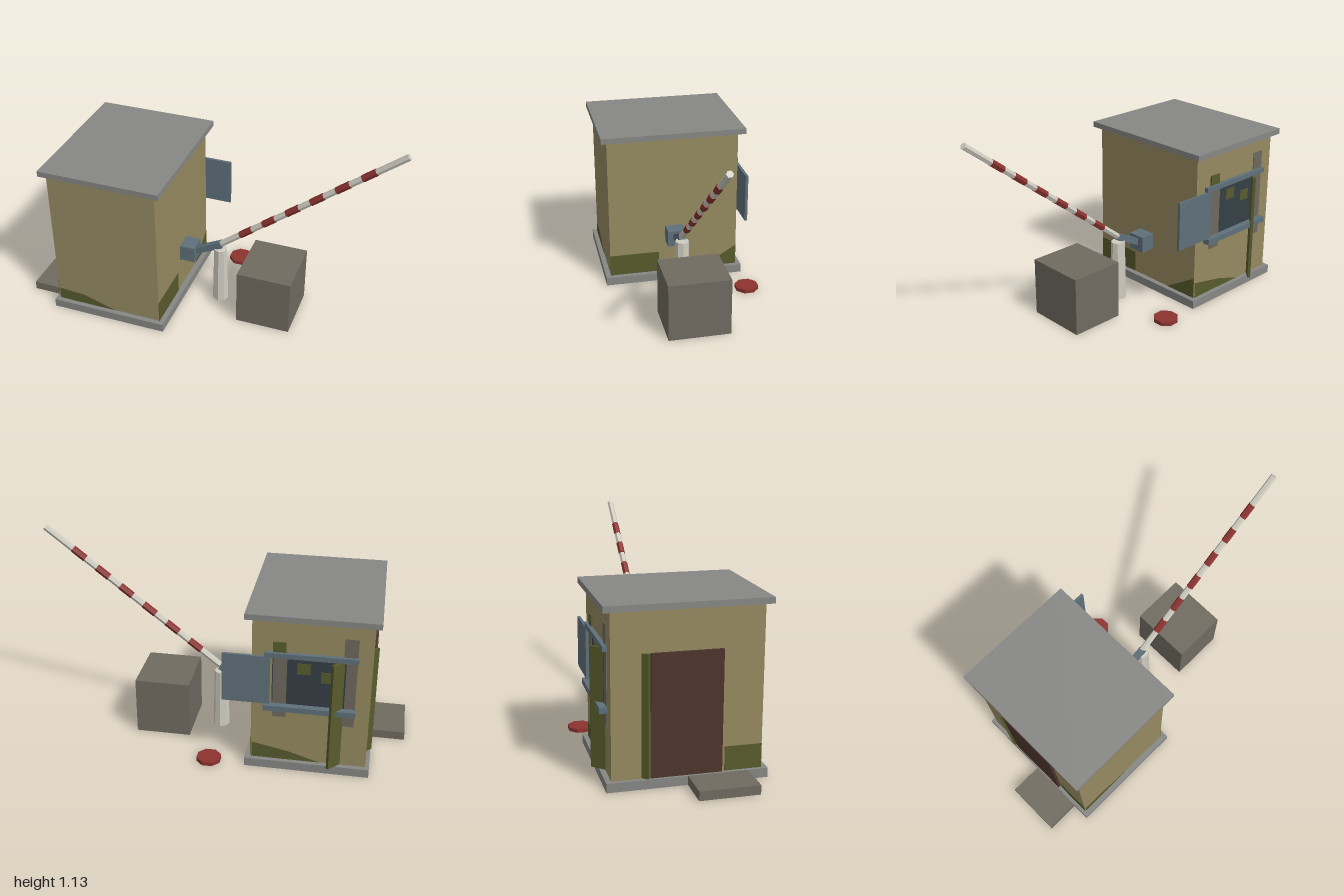
import * as THREE from 'three';

const paint = (name, color, side = THREE.FrontSide) => {
  const m = new THREE.MeshStandardMaterial({ color, flatShading: true, side });
  m.name = name;
  return m;
};

export function createModel() {
  const model = new THREE.Group();
  model.name = 'guardBooth';
  const plaster = paint('plaster', 0x968a61);
  const concrete = paint('concrete', 0x878785);
  const stone = paint('stone', 0x706b60);
  const steel = paint('blueGreySteel', 0x5f707a);
  const glass = paint('darkGlass', 0x353f45);
  const white = paint('offWhite', 0xcfccc0);
  const red = paint('signalRed', 0x8c3330);
  const brown = paint('doorwayBrown', 0x4f342d);
  const olive = paint('oliveGreen', 0x575b2c, THREE.DoubleSide);
  const patch = paint('greyPatch', 0x6d695e);

  const add = (name, geo, mat, x = 0, y = 0, z = 0) => {
    const mesh = new THREE.Mesh(geo, mat);
    mesh.name = name;
    mesh.position.set(x, y, z);
    model.add(mesh);
    return mesh;
  };
  // box given by its lower and upper corners
  const box = (name, mat, [x0, y0, z0], [x1, y1, z1]) =>
    add(name, new THREE.BoxGeometry(x1 - x0, y1 - y0, z1 - z0), mat,
      (x0 + x1) / 2, (y0 + y1) / 2, (z0 + z1) / 2);

  // booth
  box('foundation', concrete, [-0.82, 0, -0.38], [-0.165, 0.047, 0.415]);
  box('walls', plaster, [-0.8, 0.047, -0.353], [-0.195, 0.865, 0.387]);
  box('roof', concrete, [-0.83, 0.865, -0.39], [-0.16, 0.896, 0.42]);
  box('doorStep', stone, [-1, 0, 0.015], [-0.82, 0.047, 0.315]);
  box('doorway', brown, [-0.815, 0.05, -0.165], [-0.8, 0.66, 0.185]);

  // door leaf swung through the back corner
  const leaf = add('doorLeaf', new THREE.BoxGeometry(0.318, 0.61, 0.016), olive, -0.712, 0.355, -0.292);
  leaf.rotation.y = Math.atan2(0.235, 0.215);

  // service window with a sliding shutter on the back wall
  box('windowPane', glass, [-0.67, 0.385, -0.358], [-0.3, 0.665, -0.352]);
  box('topRail', steel, [-0.73, 0.658, -0.375], [-0.26, 0.685, -0.352]);
  box('bottomRail', steel, [-0.73, 0.36, -0.393], [-0.26, 0.39, -0.352]);
  box('slidingShutter', steel, [-0.29, 0.39, -0.375], [-0.045, 0.66, -0.36]);

  // worn wall patches
  box('wallPatch', patch, [-0.725, 0.285, -0.357], [-0.655, 0.785, -0.352]);
  box('wallPatch', patch, [-0.375, 0.31, -0.3595], [-0.305, 0.69, -0.352]);
  for (const [x, y] of [[-0.335, 0.71], [-0.46, 0.6], [-0.58, 0.56]])
    box('mossPatch', olive, [x - 0.033, y - 0.03, -0.361], [x + 0.033, y + 0.03, -0.352]);

  // moss along the foot of the walls
  box('rightMoss', olive, [-0.196, 0.047, 0.105], [-0.193, 0.17, 0.387]);
  box('leftMoss', olive, [-0.802, 0.047, 0.2], [-0.799, 0.17, 0.387]);
  const wedge = (name, pts, x, z, turn) => {
    const shape = new THREE.Shape(pts.map(p => new THREE.Vector2(...p)));
    add(name, new THREE.ShapeGeometry(shape), olive, x, 0.047, z).rotation.y = turn;
  };
  wedge('frontMoss', [[0, 0], [0.34, 0], [0.15, 0.06], [0, 0.07]], -0.795, 0.389, 0);
  wedge('backMoss', [[0, 0], [0.36, 0], [0.2, 0.05], [0, 0.09]], -0.2, -0.355, Math.PI);
  wedge('rightRearMoss', [[0, 0], [-0.2, 0], [0, 0.12]], -0.193, -0.353, Math.PI / 2);

  // barrier mount
  const bz = 0.016;
  box('hingeBox', steel, [-0.195, 0.24, -0.036], [-0.11, 0.332, 0.066]);
  const arm = add('hingeArm', new THREE.BoxGeometry(0.17, 0.036, 0.036), steel, -0.04, 0.332, bz);
  arm.rotation.z = Math.atan2(0.07, 0.14);
  add('supportPost', new THREE.CylinderGeometry(0.038, 0.046, 0.34, 8), white, 0.029, 0.17, bz);

  // raised boom with red bands
  const start = new THREE.Vector3(0.02, 0.362, bz), end = new THREE.Vector3(0.985, 1.122, bz);
  const dir = end.clone().sub(start);
  const length = dir.length();
  const rod = (name, mat, r, t0, t1) => {
    const p = start.clone().addScaledVector(dir, (t0 + t1) / 2);
    const mesh = add(name, new THREE.CylinderGeometry(r, r, (t1 - t0) * length, 6), mat, p.x, p.y, p.z);
    mesh.quaternion.setFromUnitVectors(new THREE.Vector3(0, 1, 0), dir.clone().normalize());
  };
  rod('boom', white, 0.0175, 0, 1);
  for (let i = 0; i < 6; i++) {
    const t = (0.143 + i * 0.126 - start.x) / dir.x;
    rod('boomBand', red, 0.0195, t, t + 0.066 / dir.x);
  }

  // loose pieces on the ground
  box('concreteBlock', stone, [0.18, 0, -0.15], [0.48, 0.32, 0.185]);
  const disc = add('groundDisc', new THREE.CylinderGeometry(0.068, 0.068, 0.021, 8), red, 0.029, 0.0105, -0.36);
  disc.rotation.y = Math.PI / 8;

  return model;
}
